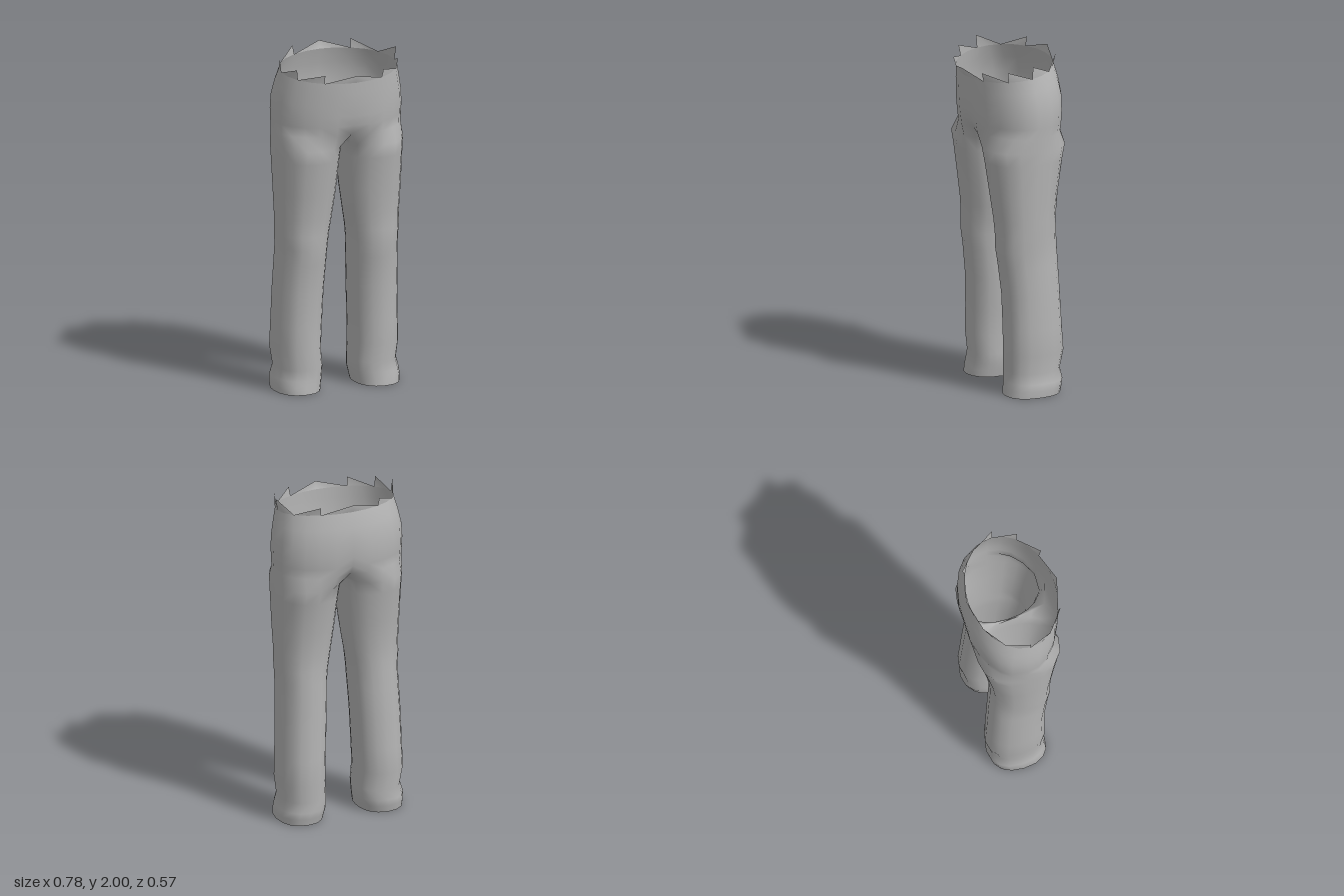
import * as THREE from 'three';
import { mergeVertices } from 'three/addons/utils/BufferGeometryUtils.js';

const OUTER = 12; // steps along the outside of one half, front seam to back seam
const RING = 18; // points round one whole leg

const spow = (v, p) => Math.sign(v) * Math.abs(v) ** p;

// Half ring of the hips: [height, half width, front z, back z, tilt, seam pinch, back squareness]
const hips = [
  [1.92, 0.355, 0.27, -0.25, 0.13, 1, 1],
  [1.84, 0.372, 0.268, -0.272, 0.08, 1, 0.85],
  [1.76, 0.387, 0.264, -0.286, 0.04, 1, 0.8],
  [1.68, 0.392, 0.26, -0.286, 0, 0.98, 0.8],
  [1.62, 0.39, 0.254, -0.282, 0, 0.95, 0.8],
  [1.56, 0.388, 0.246, -0.274, 0, 0.85, 0.82],
];

// Full ring of a leg: [height, inner x, outer x, front z, back z]
const legs = [
  [1.48, 0.004, 0.386, 0.232, -0.256],
  [1.4, 0.013, 0.384, 0.217, -0.238],
  [1.2, 0.032, 0.378, 0.188, -0.205],
  [1.05, 0.053, 0.371, 0.168, -0.19],
  [0.95, 0.07, 0.37, 0.163, -0.191],
  [0.87, 0.08, 0.364, 0.164, -0.196],
  [0.78, 0.083, 0.366, 0.15, -0.201],
  [0.6, 0.092, 0.373, 0.13, -0.21],
  [0.4, 0.1, 0.378, 0.125, -0.22],
  [0.25, 0.106, 0.382, 0.125, -0.229],
  [0.14, 0.096, 0.367, 0.118, -0.211],
  [0.08, 0.1, 0.384, 0.122, -0.222],
  [0.04, 0.107, 0.388, 0.128, -0.214],
  [0, 0.115, 0.385, 0.132, -0.205],
];

function hipRing([y, w, front, back, tilt, pinch, square]) {
  const ring = [];
  for (let i = 0; i <= OUTER; i++) {
    const a = (i / OUTER) * Math.PI;
    const seam = i === 0 || i === OUTER;
    const c = Math.cos(a);
    const z = (front + back) / 2 + ((front - back) / 2) * (c < 0 ? spow(c, square) : c);
    const pz = seam ? z * pinch : z;
    ring.push([seam ? 0 : w * Math.sin(a), y - tilt * pz, pz]);
  }
  return ring;
}

function legRing([y, inner, outer, front, back]) {
  const ring = [];
  for (let i = 0; i < RING; i++) {
    const deg = i <= OUTER ? -45 + (270 * i) / OUTER : 225 + (90 * (i - OUTER)) / (RING - OUTER);
    const a = THREE.MathUtils.degToRad(deg);
    ring.push([
      (inner + outer) / 2 + ((outer - inner) / 2) * spow(Math.sin(a), 0.88),
      y,
      (front + back) / 2 + ((front - back) / 2) * spow(Math.cos(a), 0.88),
    ]);
  }
  return ring;
}

// Closes the lowest hip ring with the seam that dips between the legs
function crotchRing(hip) {
  const ring = hip.slice();
  const front = hip[0], back = hip[OUTER];
  for (let i = 1; i < RING - OUTER; i++) {
    const t = i / (RING - OUTER);
    ring.push([0, front[1] - 0.09 * Math.sin(t * Math.PI), THREE.MathUtils.lerp(back[2], front[2], t)]);
  }
  return ring;
}

// Adds triangles for both sides, mirrored across x = 0
function mirroredGeometry(triangles) {
  const pos = [];
  for (const [a, b, c] of triangles) {
    pos.push(...a, ...b, ...c);
    for (const p of [a, c, b]) pos.push(-p[0], p[1], p[2]);
  }
  const geo = new THREE.BufferGeometry();
  geo.setAttribute('position', new THREE.Float32BufferAttribute(pos, 3));
  const merged = mergeVertices(geo, 1e-5);
  merged.computeVertexNormals();
  return merged;
}

function loft(rings, closed, out) {
  for (let r = 0; r < rings.length - 1; r++) {
    const top = rings[r], low = rings[r + 1];
    const steps = closed ? RING : OUTER;
    for (let i = 0; i < steps; i++) {
      const j = closed ? (i + 1) % RING : i + 1;
      out.push([top[i], low[i], top[j]], [top[j], low[i], low[j]]);
    }
  }
}

export function createModel() {
  const group = new THREE.Group();
  group.name = 'trousers';
  const cloth = new THREE.MeshStandardMaterial({ color: 0xb4b4b4, side: THREE.DoubleSide });
  cloth.name = 'grey cloth';

  // Hips and both legs as one smooth skin
  const hipRings = hips.map(hipRing);
  const skin = [];
  loft(hipRings, false, skin);
  loft([crotchRing(hipRings[hipRings.length - 1]), ...legs.map(legRing)], true, skin);
  const body = new THREE.Mesh(mirroredGeometry(skin), cloth);
  body.name = 'hipsAndLegs';
  group.add(body);

  // Ragged points standing on the waist edge
  const waist = hipRings[0];
  const teeth = [];
  const heights = [0.045, 0.052, 0.062, 0.075, 0.058, 0.048];
  for (let k = 0; k < 6; k++) {
    const a = waist[2 * k], m = waist[2 * k + 1], b = waist[2 * k + 2];
    const base = k < 4 ? a : b; // front points lean forward, back points lean back
    const tip = [base[0] * 1.03, Math.min(2, base[1] + heights[k]), base[2] * 1.06];
    teeth.push([a, m, tip], [m, b, tip]);
  }
  const edge = new THREE.Mesh(mirroredGeometry(teeth), cloth);
  edge.name = 'raggedWaistEdge';
  group.add(edge);

  return group;
}
